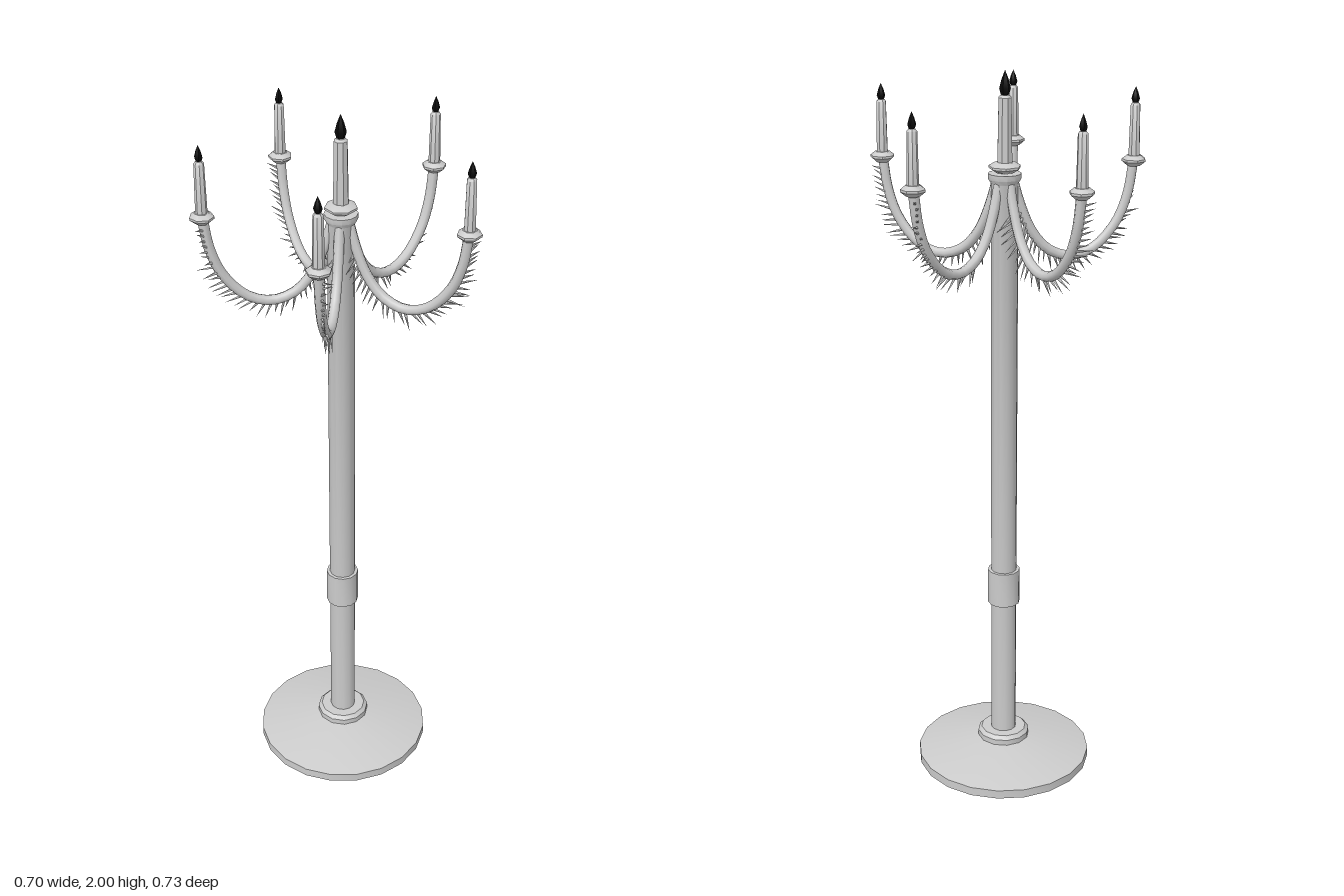
import * as THREE from 'three';
import { toCreasedNormals, mergeGeometries } from 'three/addons/utils/BufferGeometryUtils.js';

const grey = new THREE.MeshStandardMaterial({ color: 0xcccccc });
const black = new THREE.MeshStandardMaterial({ color: 0x080808 });

function rng(seed) {
  return () => (seed = (seed * 16807) % 2147483647) / 2147483647;
}

function part(name, geometry, material = grey) {
  const mesh = new THREE.Mesh(geometry, material);
  mesh.name = name;
  return mesh;
}

// Turned part from [radius, height] pairs, listed bottom to top
function turned(name, profile, sides, material) {
  const points = profile.map(([r, y]) => new THREE.Vector2(r, y));
  return part(name, toCreasedNormals(new THREE.LatheGeometry(points, sides), 0.7), material);
}

// Drip pan, candle and flame; y = 0 is the underside of the pan
function candleSet(pan, radius, height, flameHeight) {
  const group = new THREE.Group();
  group.name = 'candleSet';
  group.add(turned('dripPan', [[0, 0], [pan * 0.55, 0], [pan, 0.012], [pan, 0.018],
    [pan * 0.6, 0.028], [0, 0.028]], 7));
  group.add(turned('candle', [[0, 0.02], [radius, 0.02], [radius * 0.85, height - 0.006],
    [radius * 0.55, height], [0, height]], 8));
  const f = radius * 0.72;
  const flame = turned('flame', [[0, 0], [f * 0.7, 0.004], [f, flameHeight * 0.3],
    [f * 0.6, flameHeight * 0.65], [0, flameHeight]], 6, black);
  flame.position.y = height - 0.003;
  group.add(flame);
  return group;
}

// Arm curve: from the pole, down through a sag, up to the candle
const armCurve = new THREE.CatmullRomCurve3([
  [0.02, 1.725], [0.042, 1.65], [0.075, 1.575], [0.12, 1.525], [0.18, 1.505],
  [0.245, 1.525], [0.305, 1.59], [0.335, 1.665], [0.348, 1.745],
].map(([x, y]) => new THREE.Vector3(x, y, 0)));

// Row of thorns that winds from one side of the arm, underneath, to the other
function thorns(seed) {
  const random = rng(seed);
  const up = new THREE.Vector3(0, 1, 0);
  const side = new THREE.Vector3(0, 0, 1);
  const list = [];
  const count = 34;
  for (let i = 0; i < count; i++) {
    const t = 0.13 + 0.83 * i / (count - 1);
    const tangent = armCurve.getTangentAt(t);
    const under = new THREE.Vector3(tangent.y, -tangent.x, 0);
    const angle = 1.0 - 2.0 * t + (random() - 0.5) * 0.5;
    const out = under.multiplyScalar(Math.cos(angle)).addScaledVector(side, Math.sin(angle));
    const dir = out.clone().addScaledVector(tangent, 0.35 + random() * 0.5).normalize();
    const length = (0.036 + random() * 0.018) * (t > 0.8 ? 0.75 : 1);
    const cone = new THREE.ConeGeometry(0.0045, length, 4, 1);
    cone.translate(0, length / 2, 0);
    cone.applyQuaternion(new THREE.Quaternion().setFromUnitVectors(up, dir));
    const root = armCurve.getPointAt(t).addScaledVector(out, 0.009);
    cone.translate(root.x, root.y, root.z);
    list.push(cone);
  }
  return part('thorns', mergeGeometries(list));
}

function createArm(index) {
  const arm = new THREE.Group();
  arm.name = 'arm';
  arm.add(part('branch', new THREE.TubeGeometry(armCurve, 24, 0.0135, 8)));
  arm.add(thorns(101 + index * 977));
  const candle = candleSet(0.032, 0.0155, 0.165, 0.045);
  candle.position.set(0.35, 1.738, 0);
  arm.add(candle);
  arm.rotation.y = index * Math.PI * 2 / 5;
  return arm;
}

export function createModel() {
  const model = new THREE.Group();
  model.name = 'candelabrum';

  // Round foot with a low conical top and a stepped collar
  model.add(turned('foot', [[0, 0], [0.248, 0], [0.248, 0.025], [0.075, 0.066], [0, 0.066]], 20));
  model.add(turned('footCollar', [[0.074, 0.05], [0.074, 0.082], [0.064, 0.092], [0, 0.092]], 12));

  // Pole with a sleeve and a flared neck
  model.add(turned('pole', [[0.036, 0.085], [0.036, 1.71], [0.044, 1.722], [0.044, 1.736],
    [0, 1.736]], 12));
  model.add(turned('sleeve', [[0.034, 0.5], [0.045, 0.5], [0.045, 0.602], [0.034, 0.602]], 12));

  // Centre candle
  const centre = candleSet(0.043, 0.021, 0.2, 0.066);
  centre.position.y = 1.737;
  model.add(centre);

  for (let i = 0; i < 5; i++) model.add(createArm(i));

  // The pole stands slightly off centre because of the five-way spread
  model.children.forEach((child) => { child.position.x = -0.034; });
  return model;
}
